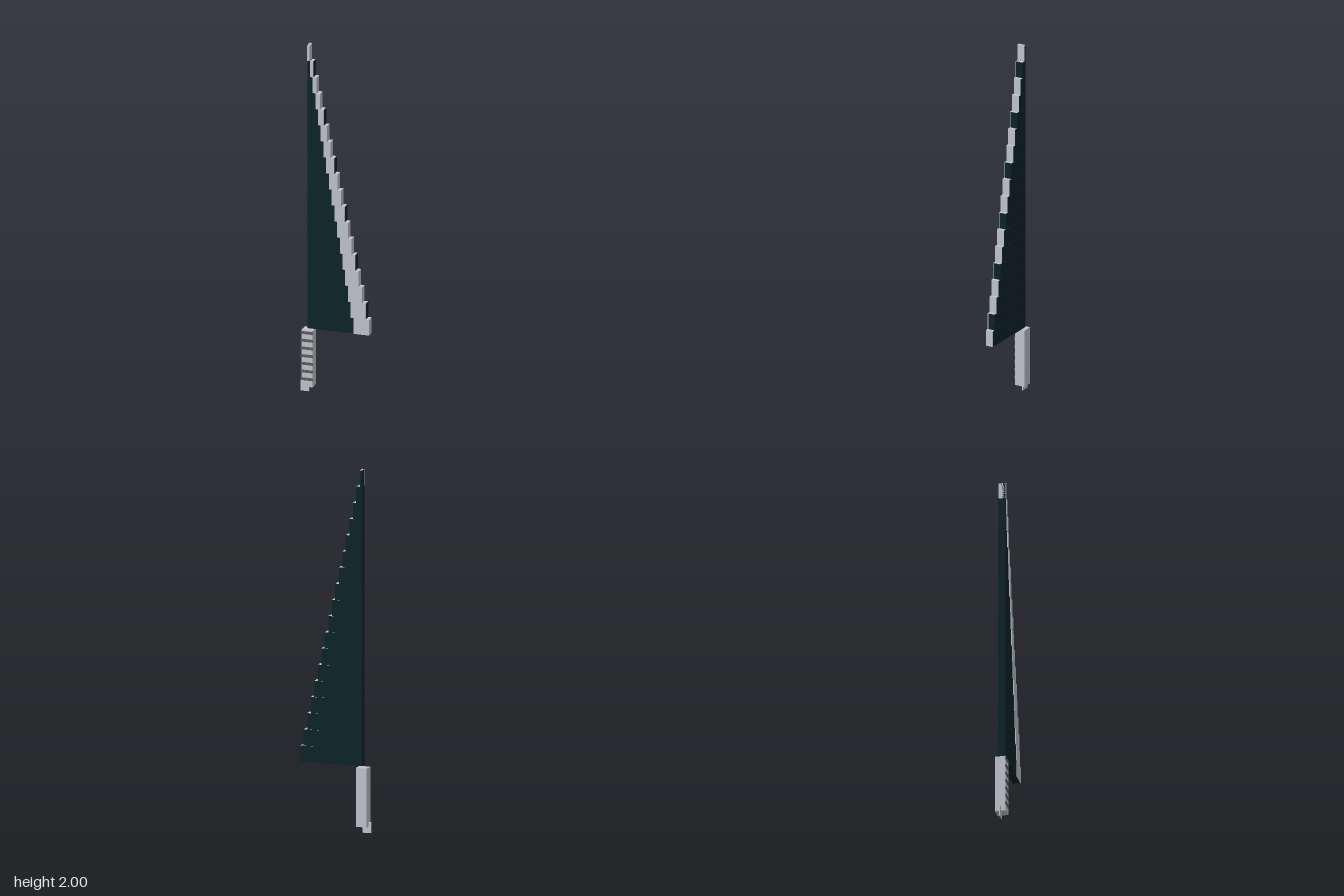
import * as THREE from 'three';

export function createModel() {
  const model = new THREE.Group();
  const steel = new THREE.MeshStandardMaterial({ name: 'pale steel', color: 0xc0c4c9 });
  const dark = new THREE.MeshStandardMaterial({ name: 'dark blade', color: 0x0c2326 });
  const grey = new THREE.MeshStandardMaterial({ name: 'grip grey', color: 0x5c5a60 });

  // Box given by its lower and upper bounds on each axis
  function block(parent, name, material, x0, x1, y0, y1, z0, z1) {
    const mesh = new THREE.Mesh(new THREE.BoxGeometry(x1 - x0, y1 - y0, z1 - z0), material);
    mesh.position.set((x0 + x1) / 2, (y0 + y1) / 2, (z0 + z1) / 2);
    mesh.name = name;
    parent.add(mesh);
  }

  // Stepped blade: dark body with a pale cutting edge along the stairs
  const blade = new THREE.Group();
  blade.name = 'blade';
  model.add(blade);
  const rows = 18, bottom = 0.37, back = -0.153;
  const rise = (2 - bottom) / rows;
  for (let i = 0; i < rows; i++) {
    const y0 = bottom + i * rise, y1 = y0 + rise;
    const tip = 0.2 - 0.02 * i;
    const edgeStart = Math.max(back, 0.11 - 0.0155 * i);
    // the ends of every third step show the dark body
    const inset = i % 3 === 1 ? -0.001 : 0.001;
    block(blade, 'bladeBody', dark, back, tip - inset, y0, y1 - 0.001, -0.022, 0.018);
    block(blade, 'cuttingEdge', steel, edgeStart, tip, y0, y1, -0.021, 0.022);
  }

  // Handle with raised grip bars across the front
  const handle = new THREE.Group();
  handle.name = 'handle';
  model.add(handle);
  block(handle, 'grip', steel, -0.183, -0.121, 0.035, 0.36, -0.032, 0.027);
  for (let i = 0; i < 7; i++) {
    const y = 0.08 + i * 0.0443;
    block(handle, 'gripBar', grey, -0.187, -0.118, y - 0.0075, y + 0.0075, 0.025, 0.031);
  }

  // Thin tab at the foot of the handle
  block(handle, 'endTab', steel, -0.2, -0.15, 0, 0.06, -0.006, 0);

  return model;
}
